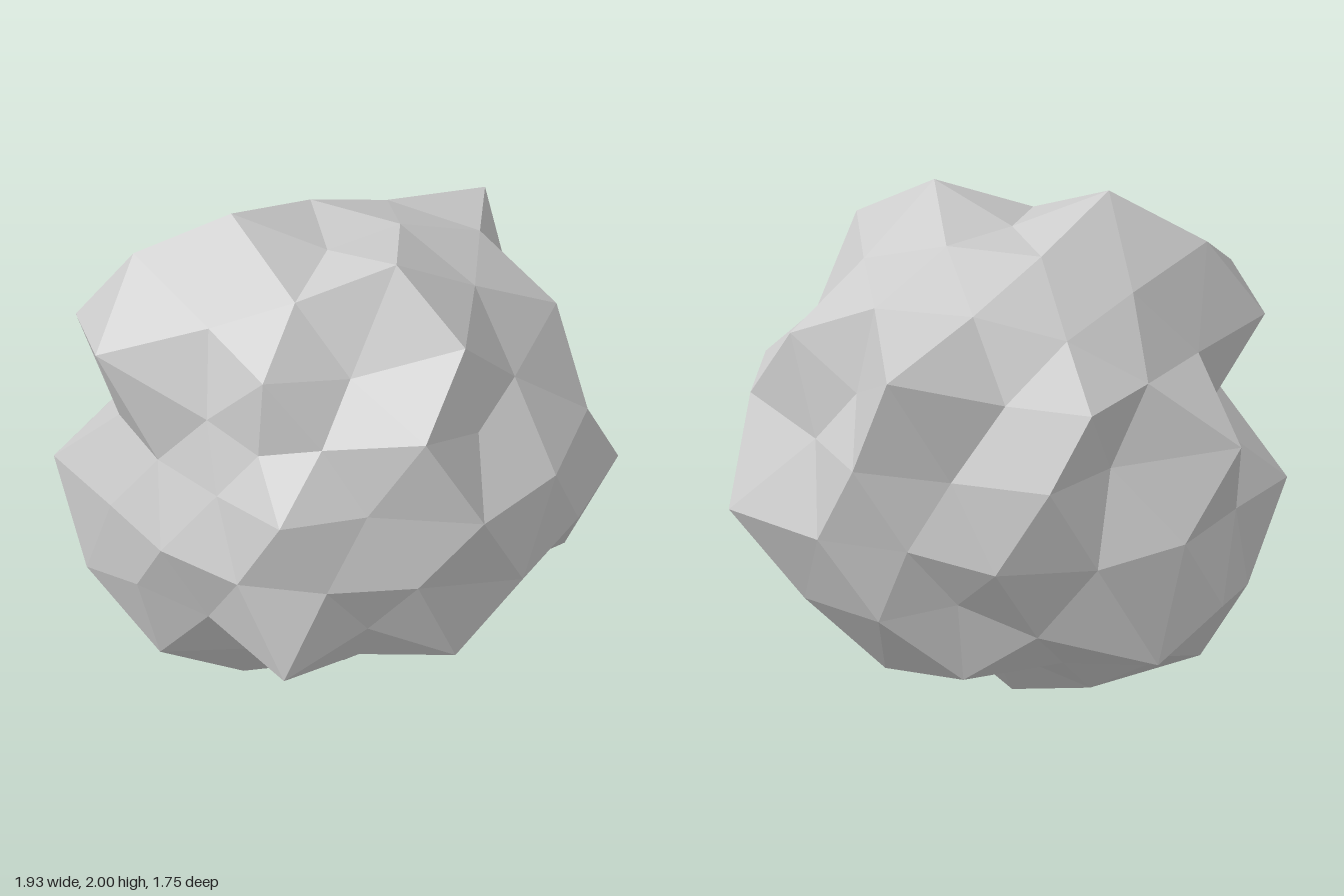
import * as THREE from 'three';
import { ConvexGeometry } from 'three/addons/geometries/ConvexGeometry.js';

// Rings of a finely divided ball, top to bottom:
// [height of the direction, first azimuth in degrees, five radii 72 degrees apart]
const RINGS = [
  [0.939, 18, [1.0, 0.84, 1.035, 0.895, 0.895]],
  [0.795, 54, [0.69, 0.83, 0.88, 0.88, 0.9]],
  [0.727, 18, [1.0, 0.84, 1.045, 0.845, 0.94]],
  [0.515, 40.4, [0.99, 0.71, 0.85, 0.83, 0.99]],
  [0.515, 67.6, [0.7, 1.035, 0.86, 1.1, 0.855]],
  [0.447, 18, [0.84, 0.69, 1.04, 0.94, 0.815]],
  [0.188, 54, [0.74, 0.73, 1.03, 0.85, 0.98]],
  [0.172, 6.2, [0.99, 0.825, 0.78, 0.69, 0.93]],
  [0.172, 29.8, [1.0, 0.7, 0.72, 0.94, 0.82]],
  [-0.172, 42.2, [0.85, 0.83, 0.9, 0.94, 1.09]],
  [-0.172, 65.8, [0.82, 0.85, 0.92, 0.85, 0.985]],
  [-0.188, 18, [0.99, 0.82, 1.03, 0.92, 0.93]],
  [-0.447, 54, [0.82, 0.9, 1.04, 0.83, 0.98]],
  [-0.515, 76.4, [1.0, 1.04, 1.12, 0.93, 0.8]],
  [-0.515, 31.6, [0.98, 0.83, 1.03, 0.92, 0.98]],
  [-0.727, 54, [0.83, 1.03, 1.0, 0.97, 0.83]],
  [-0.795, 18, [0.81, 0.82, 1.14, 0.88, 0.98]],
  [-0.939, 54, [0.88, 1.03, 1.0, 0.79, 0.82]],
];
const TOP_RADIUS = 0.835;
const BOTTOM_RADIUS = 1.03;
const CENTRE = new THREE.Vector3(-0.003, 1.03, 0.04);

function createRockGeometry() {
  // Unit directions, each with its own radius
  const directions = [new THREE.Vector3(0, 1, 0), new THREE.Vector3(0, -1, 0)];
  const radii = [TOP_RADIUS, BOTTOM_RADIUS];
  for (const [y, start, ring] of RINGS) {
    const h = Math.sqrt(1 - y * y);
    ring.forEach((radius, k) => {
      const a = THREE.MathUtils.degToRad(start + 72 * k);
      directions.push(new THREE.Vector3(h * Math.cos(a), y, h * Math.sin(a)));
      radii.push(radius);
    });
  }

  // The hull of the directions gives the triangles; then push each corner in or out
  const geometry = new ConvexGeometry(directions);
  const position = geometry.attributes.position;
  const v = new THREE.Vector3();
  for (let i = 0; i < position.count; i++) {
    v.fromBufferAttribute(position, i);
    let nearest = 0;
    directions.forEach((d, k) => {
      if (d.distanceToSquared(v) < directions[nearest].distanceToSquared(v)) nearest = k;
    });
    v.multiplyScalar(radii[nearest]).add(CENTRE);
    position.setXYZ(i, v.x, v.y, v.z);
  }
  geometry.computeVertexNormals();
  return geometry;
}

export function createModel() {
  const model = new THREE.Group();
  model.name = 'boulder';
  const material = new THREE.MeshStandardMaterial({ color: 0xcccccc, flatShading: true });
  const rock = new THREE.Mesh(createRockGeometry(), material);
  rock.name = 'rock';
  model.add(rock);
  return model;
}
